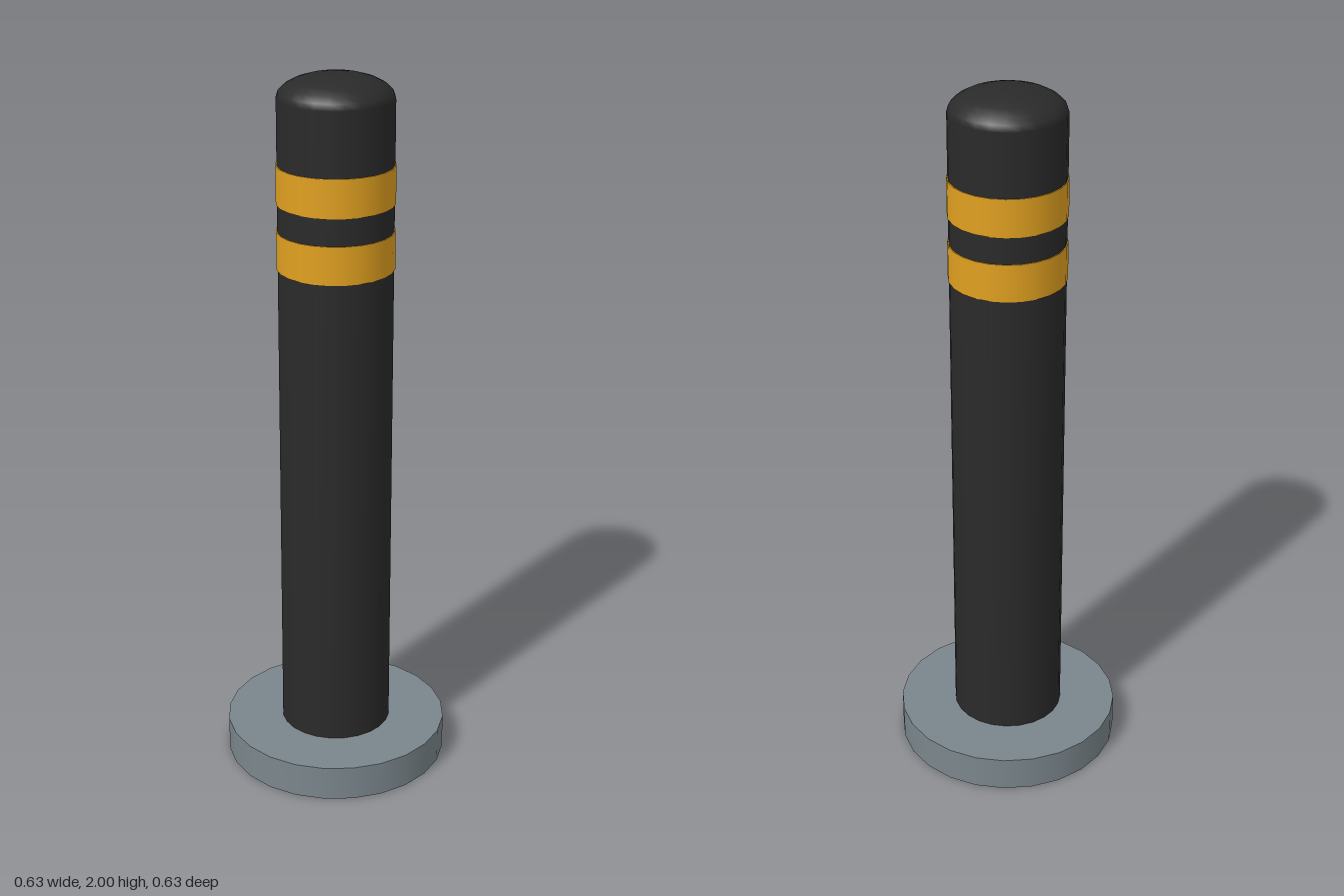
import * as THREE from 'three';

const SIDES = 24;
const POST_RADIUS = 0.157;
const SHOULDER = 1.935;

export function createModel() {
  const group = new THREE.Group();
  const black = new THREE.MeshStandardMaterial({ color: 0x2a2a2a });
  const amber = new THREE.MeshStandardMaterial({ color: 0xe0a020 });
  const steel = new THREE.MeshStandardMaterial({ color: 0x7a868c });

  // Upright closed cylinder between two heights
  function addCylinder(name, radius, bottom, top, material) {
    const geometry = new THREE.CylinderGeometry(radius, radius, top - bottom, SIDES);
    const mesh = new THREE.Mesh(geometry, material);
    mesh.name = name;
    mesh.position.y = (bottom + top) / 2;
    group.add(mesh);
  }

  addCylinder('basePlate', 0.317, 0, 0.1, steel);
  addCylinder('post', POST_RADIUS, 0.1, SHOULDER, black);

  // Reflective bands, slightly proud of the post
  addCylinder('lowerBand', 0.16, 1.475, 1.58, amber);
  addCylinder('upperBand', 0.16, 1.655, 1.76, amber);

  // Flattened half-sphere cap
  const dome = new THREE.Mesh(
    new THREE.SphereGeometry(POST_RADIUS, SIDES, 6, 0, Math.PI * 2, 0, Math.PI / 2),
    black
  );
  dome.name = 'domeCap';
  dome.scale.y = (2 - SHOULDER) / POST_RADIUS;
  dome.position.y = SHOULDER;
  group.add(dome);

  return group;
}
